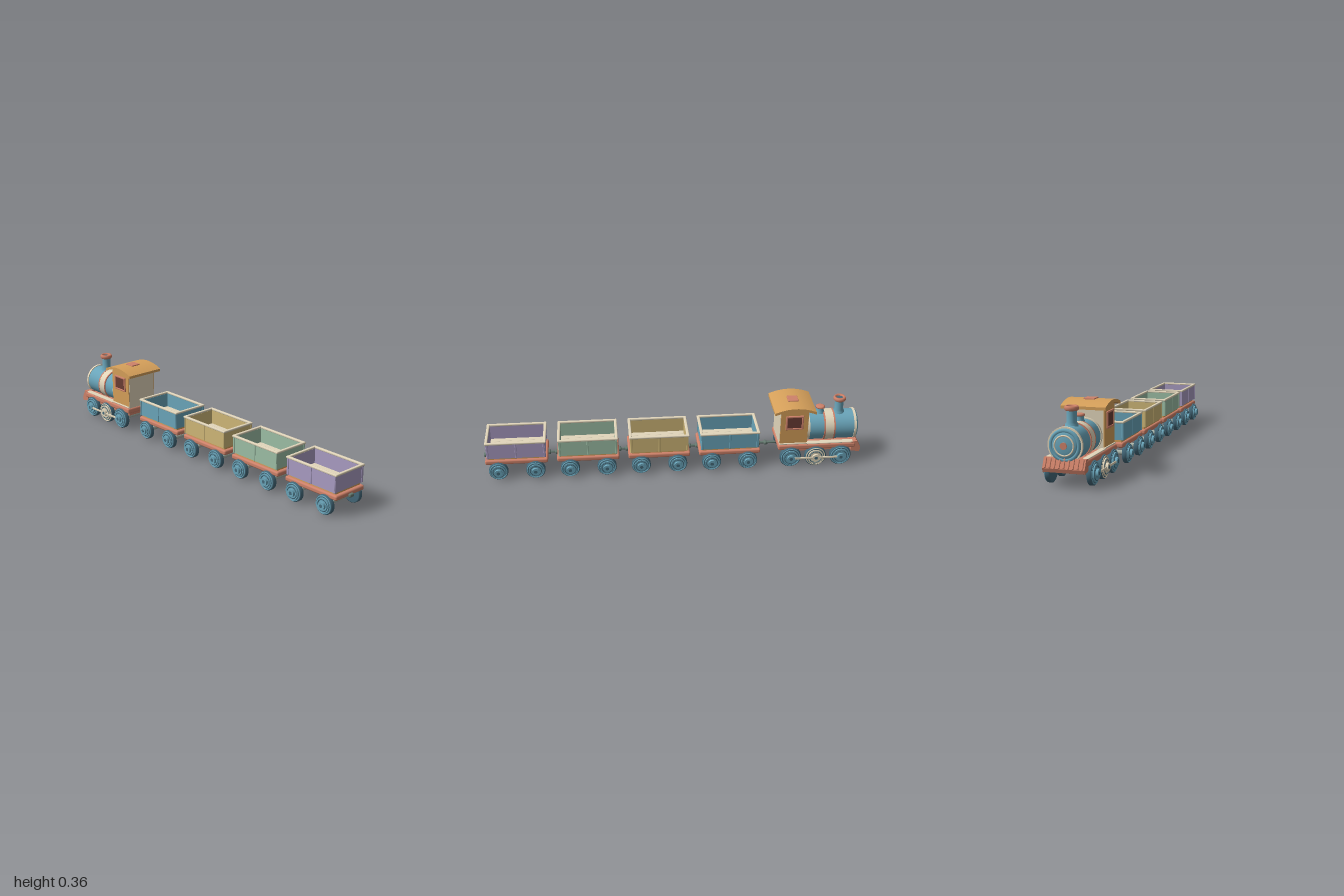
import * as THREE from 'three';
import { RoundedBoxGeometry } from 'three/addons/geometries/RoundedBoxGeometry.js';

const C = {
  teal: 0x6aa5ba, dark: 0x44697a, coral: 0xcf826a, cream: 0xe2d6bb, ochre: 0xd6a05a, brown: 0x6b3d34,
  sage: 0x9dbfa6, mustard: 0xd0b878, lavender: 0xa99cc2, grey: 0x64786f, steel: 0xa9b3a8,
};
const mats = {};
const mat = (c) => (mats[c] ??= new THREE.MeshStandardMaterial({ color: C[c] }));

function add(parent, name, geo, color, x = 0, y = 0, z = 0) {
  const m = new THREE.Mesh(geo, mat(color));
  m.name = name;
  m.position.set(x, y, z);
  parent.add(m);
  return m;
}
const box = (w, h, d) => new THREE.BoxGeometry(w, h, d);
const rbox = (w, h, d, r = 0.004) => new RoundedBoxGeometry(w, h, d, 2, r);
const cylX = (r, l) => new THREE.CylinderGeometry(r, r, l, 40).rotateZ(Math.PI / 2);
const cylZ = (r, l) => new THREE.CylinderGeometry(r, r, l, 24).rotateX(Math.PI / 2);
function lathe(points, seg = 32) {
  return new THREE.LatheGeometry(points.map((p) => new THREE.Vector2(...p)), seg);
}
function extrudeZ(shape, depth) {
  return new THREE.ExtrudeGeometry(shape, { depth, bevelEnabled: false, curveSegments: 24 }).translate(0, 0, -depth / 2);
}

// Axle with a stepped wheel on each end
function wheelSet(parent, x, r, face) {
  const g = new THREE.Group();
  g.name = 'wheelSet';
  g.position.set(x, r, 0);
  parent.add(g);
  add(g, 'axle', cylZ(0.012, 0.19), 'steel');
  for (const s of [1, -1]) {
    const w = new THREE.Group();
    w.name = 'wheel';
    w.rotation.y = s > 0 ? 0 : Math.PI;
    g.add(w);
    const tyre = lathe([[0, 0.087], [r - 0.005, 0.087], [r, 0.091], [r, 0.108], [r - 0.004, 0.112], [r - 0.01, 0.113], [0, 0.113]]);
    add(w, 'tyre', tyre.rotateX(Math.PI / 2), 'dark');
    add(w, 'wheelDisc', cylZ(r * 0.74, 0.008), face, 0, 0, 0.115);
    add(w, 'wheelRing', new THREE.TorusGeometry(r * 0.87, 0.003, 8, 36), face, 0, 0, 0.112);
    add(w, 'hubRing', new THREE.TorusGeometry(r * 0.58, 0.0025, 8, 32), 'dark', 0, 0, 0.119);
    add(w, 'hub', cylZ(0.02, 0.012), face, 0, 0, 0.125);
    add(w, 'hubCap', cylZ(0.009, 0.004), 'dark', 0, 0, 0.1295);
  }
}

// Bar and rounded knob, pointing along dir
function coupler(parent, x, dir, len) {
  add(parent, 'couplerBar', rbox(len, 0.011, 0.014), 'grey', x + dir * len / 2, 0.09, 0);
  add(parent, 'couplerKnob', rbox(0.018, 0.019, 0.031, 0.007), 'grey', x + dir * (len - 0.003), 0.09, 0);
}

function wagon(color, x) {
  const g = new THREE.Group();
  g.name = 'wagon';
  g.position.x = x;
  add(g, 'frame', rbox(0.326, 0.026, 0.202, 0.009), 'coral', 0, 0.098, 0);
  add(g, 'underFloor', box(0.29, 0.013, 0.176), 'ochre', 0, 0.116, 0);
  // Planked floor
  for (let i = 0; i < 6; i++) add(g, 'floorPlank', rbox(0.294, 0.008, 0.031, 0.0015), 'cream', 0, 0.126, (i - 2.5) * 0.0317);
  // Walls, posts and top rim
  for (const s of [1, -1]) {
    add(g, 'sideWall', box(0.3, 0.085, 0.008), color, 0, 0.1645, s * 0.094);
    add(g, 'endWall', box(0.008, 0.085, 0.19), color, s * 0.147, 0.1645, 0);
    for (const px of [-0.146, 0, 0.146]) add(g, 'post', rbox(0.01, 0.086, 0.008, 0.002), color, px, 0.1645, s * 0.0975);
    for (const pz of [-0.094, 0.094]) add(g, 'endPost', rbox(0.007, 0.086, 0.012, 0.002), color, s * 0.15, 0.1645, pz);
    add(g, 'sideRim', rbox(0.316, 0.011, 0.015), 'cream', 0, 0.211, s * 0.0955);
    add(g, 'endRim', rbox(0.015, 0.011, 0.204), 'cream', s * 0.15, 0.211, 0);
    wheelSet(g, s * 0.0965, 0.05, 'teal');
    coupler(g, s * 0.158, s, 0.012);
  }
  return g;
}

function locomotive() {
  const g = new THREE.Group();
  g.name = 'locomotive';
  // Chassis and running boards
  add(g, 'chassis', rbox(0.415, 0.03, 0.206, 0.009), 'coral', -0.76, 0.112, 0);
  add(g, 'lowerChassis', box(0.36, 0.03, 0.15), 'coral', -0.76, 0.09, 0);
  for (const s of [1, -1]) add(g, 'runningBoard', rbox(0.25, 0.006, 0.028, 0.002), 'cream', -0.83, 0.13, s * 0.086);

  // Slanted front guard with ribs
  const guard = new THREE.Shape([[-0.945, 0.132], [-0.972, 0.135], [-0.996, 0.088], [-0.99, 0.07], [-0.945, 0.078]].map((p) => new THREE.Vector2(...p)));
  add(g, 'frontGuard', extrudeZ(guard, 0.2), 'coral');
  for (let i = -4; i <= 4; i++) {
    add(g, 'guardRib', rbox(0.008, 0.048, 0.009, 0.003), 'coral', -0.985, 0.111, i * 0.022).rotation.z = -0.47;
  }

  // Boiler with bands and front door
  const by = 0.191;
  add(g, 'boiler', cylX(0.079, 0.27), 'teal', -0.835, by);
  for (const [x, l, r, c] of [[-0.965, 0.012, 0.083, 'cream'], [-0.854, 0.008, 0.084, 'coral'], [-0.828, 0.044, 0.083, 'cream'],
    [-0.802, 0.008, 0.084, 'coral'], [-0.714, 0.016, 0.083, 'cream']]) add(g, 'boilerBand', cylX(r, l), c, x, by);
  const door = lathe([[0.076, 0], [0.073, 0.008], [0.064, 0.011], [0.061, 0.006], [0.058, 0.006], [0.055, 0.011], [0.03, 0.016], [0, 0.018]], 40);
  add(g, 'boilerFront', door.rotateZ(Math.PI / 2), 'teal', -0.971, by);
  add(g, 'doorRing', new THREE.TorusGeometry(0.045, 0.004, 8, 40).rotateY(Math.PI / 2), 'cream', -0.984, by);
  add(g, 'doorHub', cylX(0.016, 0.008), 'coral', -0.989, by);

  // Chimney and steam dome
  add(g, 'chimney', lathe([[0.032, 0.255], [0.03, 0.272], [0.023, 0.282], [0.023, 0.336]]), 'teal', -0.885);
  add(g, 'chimneyCap', lathe([[0.02, 0.333], [0.028, 0.334], [0.033, 0.34], [0.033, 0.35], [0.029, 0.356], [0.02, 0.356], [0.019, 0.345]]), 'coral', -0.885);
  add(g, 'chimneyHole', new THREE.CylinderGeometry(0.0195, 0.0195, 0.01, 28), 'dark', -0.885, 0.343);
  add(g, 'steamDome', lathe([[0.026, 0.255], [0.024, 0.272], [0.019, 0.279], [0.019, 0.296]]), 'teal', -0.785);
  add(g, 'domeCap', lathe([[0.018, 0.293], [0.024, 0.295], [0.024, 0.302], [0.018, 0.305], [0, 0.306]]), 'coral', -0.785);

  // Cab: arched ochre sides, cream end walls
  const cx = -0.633, hw = 0.073;
  const side = new THREE.Shape();
  side.moveTo(-hw, 0.127);
  side.lineTo(hw, 0.127);
  side.lineTo(hw, 0.322);
  side.quadraticCurveTo(0, 0.352, -hw, 0.322);
  const core = new THREE.Shape([[-hw - 0.002, 0.127], [hw + 0.002, 0.127], [hw + 0.002, 0.322], [-hw - 0.002, 0.322]].map((p) => new THREE.Vector2(...p)));
  add(g, 'cabEndWalls', extrudeZ(core, 0.176), 'cream', cx);
  for (const s of [1, -1]) {
    add(g, 'cabSide', extrudeZ(side, 0.01), 'ochre', cx, 0, s * 0.087);
    const win = new THREE.Group();
    win.name = 'cabWindow';
    win.position.set(cx, 0.26, s * 0.094);
    g.add(win);
    add(win, 'pane', box(0.076, 0.066, 0.004), 'brown');
    for (const t of [1, -1]) {
      add(win, 'frameRail', rbox(0.094, 0.01, 0.011, 0.003), 'coral', 0, t * 0.036, 0);
      add(win, 'framePost', rbox(0.01, 0.08, 0.011, 0.003), 'coral', t * 0.042, 0, 0);
    }
    add(g, 'cabSill', rbox(0.15, 0.008, 0.012, 0.003), 'cream', cx, 0.132, s * 0.092);
  }

  // Curved roof and its hatch
  const rw = 0.109;
  const roof = new THREE.Shape();
  roof.moveTo(-rw, 0.315);
  roof.quadraticCurveTo(0, 0.36, rw, 0.315);
  roof.lineTo(rw, 0.329);
  roof.quadraticCurveTo(0, 0.375, -rw, 0.329);
  add(g, 'cabRoof', extrudeZ(roof, 0.221), 'ochre', cx);
  add(g, 'roofHatch', rbox(0.056, 0.012, 0.056, 0.003), 'coral', cx, 0.351, 0);

  // Wheels and connecting rods
  const wx = [-0.888, -0.754, -0.62];
  wx.forEach((x, i) => wheelSet(g, x, 0.057, i === 1 ? 'cream' : 'teal'));
  for (const s of [1, -1]) {
    add(g, 'connectingRod', rbox(0.285, 0.011, 0.006, 0.002), 'cream', wx[1], 0.057, s * 0.124);
  }
  coupler(g, -0.556, 1, 0.06);
  return g;
}

export function createModel() {
  const train = new THREE.Group();
  train.name = 'toyTrain';
  train.add(locomotive());
  ['teal', 'mustard', 'sage', 'lavender'].forEach((c, i) => {
    const x = -0.295 + i * 0.373;
    train.add(wagon(c, x));
    // Link to the vehicle in front
    const len = i ? 0.06 : 0.05;
    add(train, 'link', rbox(len, 0.01, 0.012), 'grey', x - 0.186, 0.09, 0);
  });
  // Rear hook
  add(train, 'rearHook', rbox(0.02, 0.019, 0.031, 0.007), 'grey', 0.99, 0.09, 0);
  return train;
}
